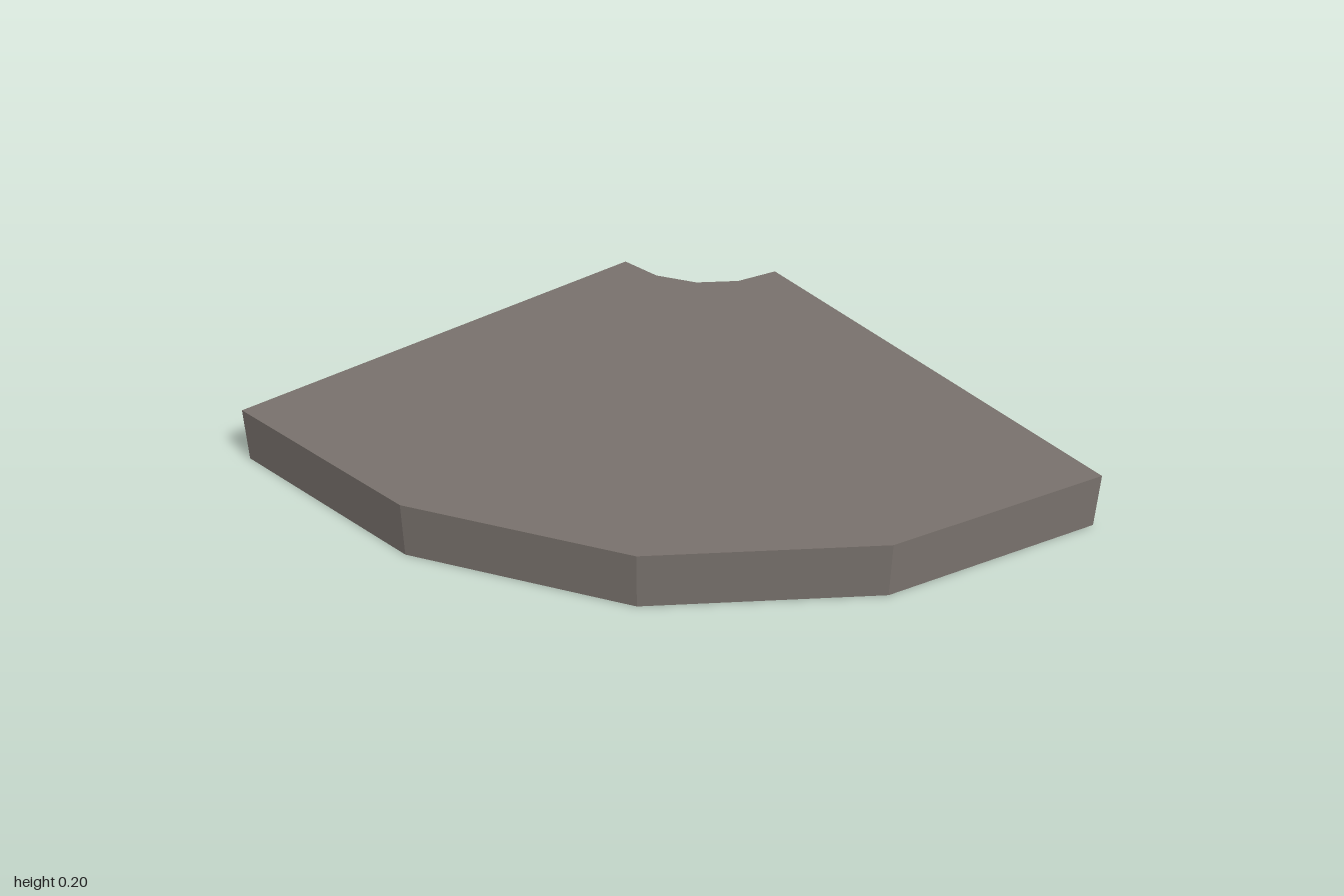
import * as THREE from 'three';

const SEGMENTS = 4;
const OUTER_RADIUS = 2;
const INNER_RADIUS = 0.4;
const THICKNESS = 0.2;

// Points of a faceted quarter arc around the back left corner
function quarterArc(radius) {
  return Array.from({ length: SEGMENTS + 1 }, (_, i) => {
    const angle = Math.PI + (i / SEGMENTS) * (Math.PI / 2);
    return new THREE.Vector2(1 + radius * Math.cos(angle), 1 + radius * Math.sin(angle));
  });
}

export function createModel() {
  const model = new THREE.Group();
  model.name = 'cornerSlab';

  const stone = new THREE.MeshStandardMaterial({ color: 0x78716c });
  stone.name = 'warm grey stone';

  // Quarter ring slab: outer arc, then the inner arc back
  const outline = [...quarterArc(OUTER_RADIUS), ...quarterArc(INNER_RADIUS).reverse()];
  const geometry = new THREE.ExtrudeGeometry(new THREE.Shape(outline), {
    depth: THICKNESS,
    bevelEnabled: false,
  });
  geometry.rotateX(-Math.PI / 2); // lay flat on the ground

  const slab = new THREE.Mesh(geometry, stone);
  slab.name = 'quarterRingSlab';
  model.add(slab);
  return model;
}
